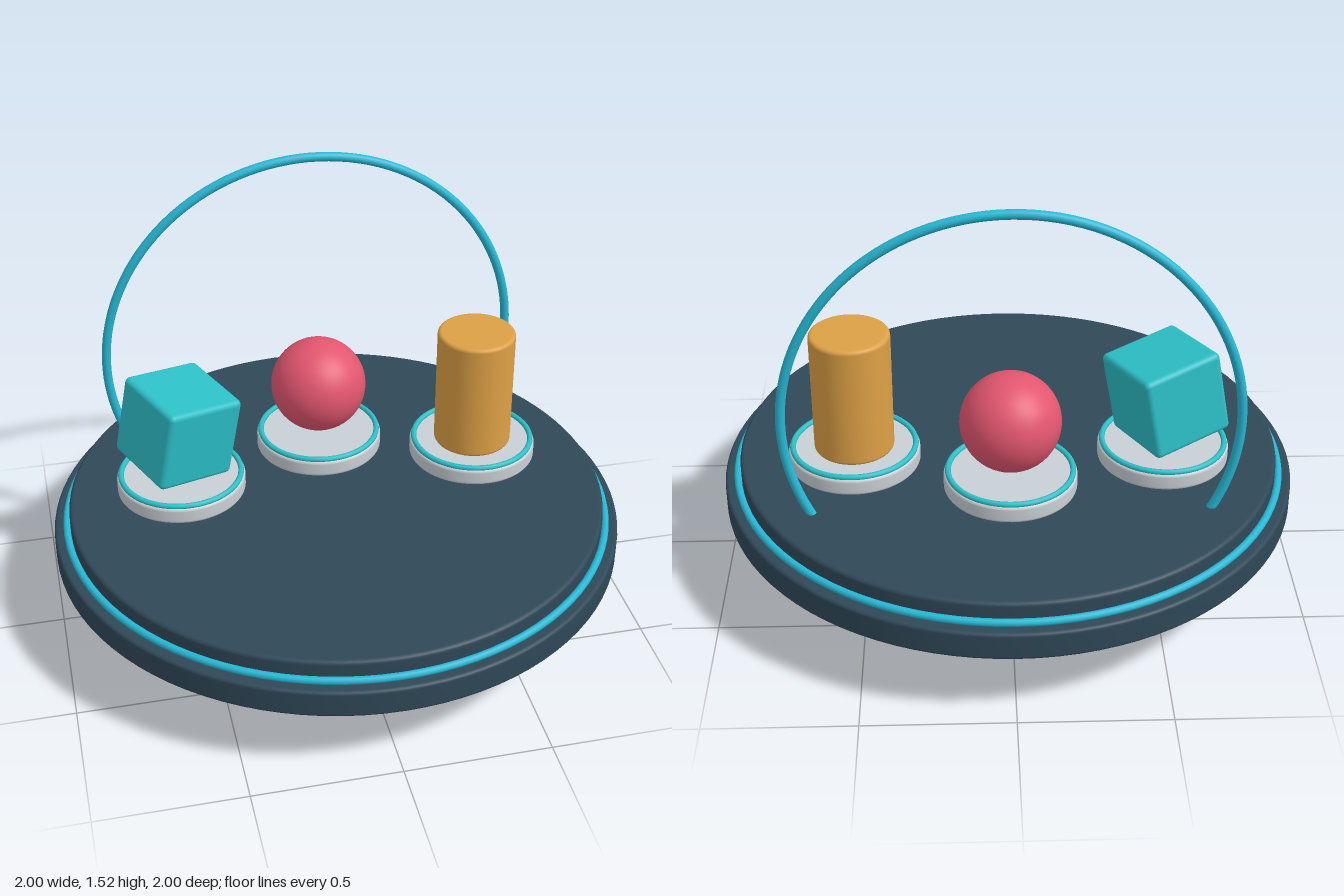
import * as THREE from 'three';
import { RoundedBoxGeometry } from 'three/addons/geometries/RoundedBoxGeometry.js';

const paint = (name, color) => {
  const m = new THREE.MeshStandardMaterial({ color });
  m.name = name;
  return m;
};

// Solid disc from y0 to y1 with softly rounded rims
function disc(radius, y0, y1, bevel, segments = 96) {
  const pts = [new THREE.Vector2(0, y0)];
  const steps = 4;
  for (let i = 0; i <= steps; i++) {
    const a = (i / steps) * Math.PI / 2;
    pts.push(new THREE.Vector2(radius - bevel + bevel * Math.sin(a), y0 + bevel - bevel * Math.cos(a)));
  }
  for (let i = 0; i <= steps; i++) {
    const a = (i / steps) * Math.PI / 2;
    pts.push(new THREE.Vector2(radius - bevel + bevel * Math.cos(a), y1 - bevel + bevel * Math.sin(a)));
  }
  pts.push(new THREE.Vector2(0, y1));
  return new THREE.LatheGeometry(pts, segments);
}

export function createModel() {
  const navy = paint('navy', 0x2f4858);
  const cyan = paint('cyan', 0x27b8d4);
  const teal = paint('teal', 0x2cbfc7);
  const grey = paint('pale grey', 0xc9d0d5);
  const rose = paint('rose', 0xe2566f);
  const amber = paint('amber', 0xdda046);

  const model = new THREE.Group();
  model.name = 'shapeDisplay';
  const add = (parent, name, geometry, material, x = 0, y = 0, z = 0) => {
    const mesh = new THREE.Mesh(geometry, material);
    mesh.name = name;
    mesh.position.set(x, y, z);
    parent.add(mesh);
    return mesh;
  };
  const flatRing = (radius, tube) => new THREE.TorusGeometry(radius, tube, 12, 96).rotateX(Math.PI / 2);

  // Two-tier round platform with a trim ring on the step
  add(model, 'platformBase', disc(1, 0.255, 0.355, 0.012), navy);
  add(model, 'platformTop', disc(0.943, 0.35, 0.43, 0.014), navy);
  add(model, 'platformTrim', flatRing(0.955, 0.013), cyan, 0, 0.367, 0);

  // Upright hoop passing through the platform
  add(model, 'hoop', new THREE.TorusGeometry(0.745, 0.016, 16, 128), cyan, 0, 0.763, -0.44);

  // Three rimmed pedestals
  const spots = { cube: [-0.535, -0.12], sphere: [0, -0.295], cylinder: [0.535, -0.12] };
  for (const [name, [x, z]] of Object.entries(spots)) {
    const pedestal = new THREE.Group();
    pedestal.name = name + 'Pedestal';
    pedestal.position.set(x, 0, z);
    add(pedestal, 'pedestalBody', disc(0.227, 0.43, 0.492, 0.012, 64), grey);
    add(pedestal, 'pedestalRim', flatRing(0.212, 0.01), teal, 0, 0.495, 0);
    model.add(pedestal);
  }

  // Tilted rounded cube
  const cube = add(model, 'cube', new RoundedBoxGeometry(0.298, 0.298, 0.298, 4, 0.02), teal, -0.536, 0.69, -0.122);
  cube.rotation.set(0.1, 0.45, -0.2);

  // Ball
  add(model, 'sphere', new THREE.SphereGeometry(0.171, 48, 32), rose, 0, 0.685, -0.295);

  // Standing cylinder
  add(model, 'cylinder', disc(0.138, 0.49, 0.934, 0.014, 64), amber, 0.535, 0, -0.12);

  return model;
}
